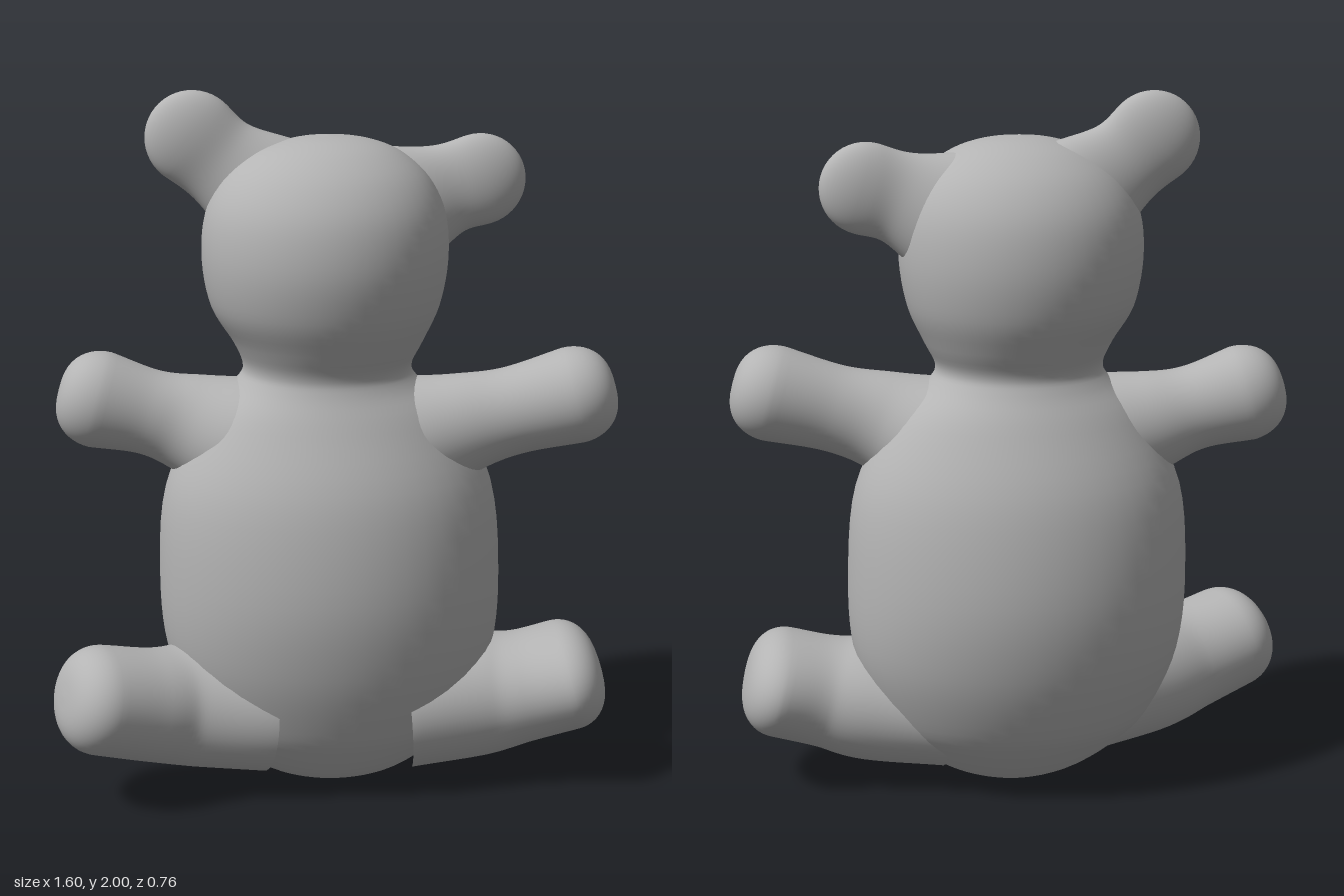
import * as THREE from 'three';

const SEGMENTS = 48;

// Lofts ellipses along rows of [x, y, z, halfAcross, halfDepth].
// cap = length of the rounded end, power < 1 makes that end blunter.
function loft(rows, { axis = null, cap = 0, power = 1, steps = 8 } = {}) {
  const spline = (pts) => new THREE.CatmullRomCurve3(pts, false, 'catmullrom', 0.5);
  const path = spline(rows.map((r) => new THREE.Vector3(r[0], r[1], r[2])));
  const size = spline(rows.map((r) => new THREE.Vector3(r[3], r[4], 0)));
  const n = (rows.length - 1) * steps;
  const rings = [];
  for (let i = 0; i <= n; i++) {
    const s = size.getPoint(i / n);
    rings.push({
      c: path.getPoint(i / n), t: axis || path.getTangent(i / n),
      a: Math.max(s.x, 0), b: Math.max(s.y, 0),
    });
  }
  if (cap > 0) {
    const last = rings[n];
    for (let k = 1; k <= 12; k++) {
      const w = (k / 12) * Math.PI / 2;
      const f = k === 12 ? 0 : Math.pow(Math.cos(w), power);
      rings.push({
        c: last.c.clone().addScaledVector(last.t, cap * Math.sin(w)),
        t: last.t, a: last.a * f, b: last.b * f,
      });
    }
  }
  const pos = [], index = [];
  rings.forEach(({ c, t, a, b }, i) => {
    const u = new THREE.Vector3(0, 0, 1).addScaledVector(t, -t.z).normalize();
    const v = new THREE.Vector3().crossVectors(t, u);
    for (let j = 0; j < SEGMENTS; j++) {
      const w = (j / SEGMENTS) * Math.PI * 2;
      const p = c.clone().addScaledVector(u, b * Math.cos(w)).addScaledVector(v, a * Math.sin(w));
      pos.push(p.x, p.y, p.z);
      if (i < rings.length - 1) {
        const k = (j + 1) % SEGMENTS, r = i * SEGMENTS, q = r + SEGMENTS;
        index.push(r + j, r + k, q + j, r + k, q + k, q + j);
      }
    }
  });
  const g = new THREE.BufferGeometry();
  g.setAttribute('position', new THREE.Float32BufferAttribute(pos, 3));
  g.setIndex(index);
  g.computeVertexNormals();
  return g;
}

export function createModel() {
  const group = new THREE.Group();
  const grey = new THREE.MeshStandardMaterial({ color: 0xb4b4b4 });
  grey.name = 'plain grey';
  const add = (name, geometry) => {
    const mesh = new THREE.Mesh(geometry, grey);
    mesh.name = name;
    group.add(mesh);
  };

  // Torso, neck and head: y, min x, max x, back z, front z
  const outline = [
    [0, 0, 0, 0, 0],
    [0.012, -0.11, 0.1, -0.08, 0.08],
    [0.05, -0.22, 0.21, -0.15, 0.16],
    [0.13, -0.33, 0.32, -0.235, 0.23],
    [0.22, -0.405, 0.39, -0.3, 0.28],
    [0.4, -0.48, 0.46, -0.365, 0.34],
    [0.62, -0.5, 0.475, -0.388, 0.366],
    [0.88, -0.48, 0.45, -0.35, 0.335],
    [1.08, -0.38, 0.35, -0.265, 0.255],
    [1.18, -0.285, 0.245, -0.212, 0.21],
    [1.23, -0.258, 0.218, -0.2, 0.205],
    [1.3, -0.285, 0.25, -0.235, 0.24],
    [1.4, -0.345, 0.295, -0.28, 0.285],
    [1.53, -0.37, 0.318, -0.3, 0.308],
    [1.66, -0.36, 0.31, -0.285, 0.292],
    [1.76, -0.31, 0.265, -0.235, 0.24],
    [1.83, -0.225, 0.185, -0.16, 0.165],
    [1.866, -0.12, 0.09, -0.08, 0.085],
    [1.877, -0.02, -0.02, 0, 0],
  ];
  const bodyRows = outline.map(([y, x0, x1, z0, z1]) =>
    [(x0 + x1) / 2, y, (z0 + z1) / 2, (x1 - x0) / 2, (z1 - z0) / 2]);
  add('bodyAndHead', loft(bodyRows, { axis: new THREE.Vector3(0, 1, 0), steps: 5 }));

  // Arms, flared at the shoulder and blunt at the paw
  add('rightArm', loft([
    [-0.28, 1.02, 0, 0.18, 0.17],
    [-0.41, 1.06, -0.02, 0.143, 0.125],
    [-0.52, 1.092, -0.025, 0.122, 0.112],
    [-0.66, 1.13, -0.03, 0.138, 0.13],
  ], { cap: 0.12, power: 0.75 }));
  add('leftArm', loft([
    [0.24, 1.02, 0.03, 0.18, 0.18],
    [0.37, 1.065, 0.055, 0.143, 0.13],
    [0.5, 1.1, 0.07, 0.125, 0.118],
    [0.67, 1.145, 0.085, 0.137, 0.14],
  ], { cap: 0.12, power: 0.75 }));

  // Legs, the right one turned further forward
  add('rightLeg', loft([
    [-0.22, 0.25, 0.06, 0.2, 0.22],
    [-0.42, 0.26, 0.1, 0.18, 0.17],
    [-0.54, 0.28, 0.15, 0.162, 0.16],
    [-0.68, 0.318, 0.205, 0.153, 0.168],
  ], { cap: 0.11, power: 0.7 }));
  add('leftLeg', loft([
    [0.2, 0.23, 0.03, 0.19, 0.24],
    [0.42, 0.245, 0.03, 0.18, 0.2],
    [0.54, 0.265, 0.04, 0.16, 0.19],
    [0.67, 0.298, 0.043, 0.153, 0.215],
  ], { cap: 0.105, power: 0.7 }));

  // Flat round ears
  add('rightEar', loft([
    [-0.2, 1.72, -0.035, 0.17, 0.1],
    [-0.31, 1.8, -0.035, 0.128, 0.065],
    [-0.39, 1.867, -0.035, 0.132, 0.063],
  ], { cap: 0.133 }));
  add('leftEar', loft([
    [0.2, 1.67, -0.035, 0.18, 0.11],
    [0.32, 1.715, -0.035, 0.13, 0.068],
    [0.41, 1.742, -0.035, 0.129, 0.064],
  ], { cap: 0.13 }));

  return group;
}
